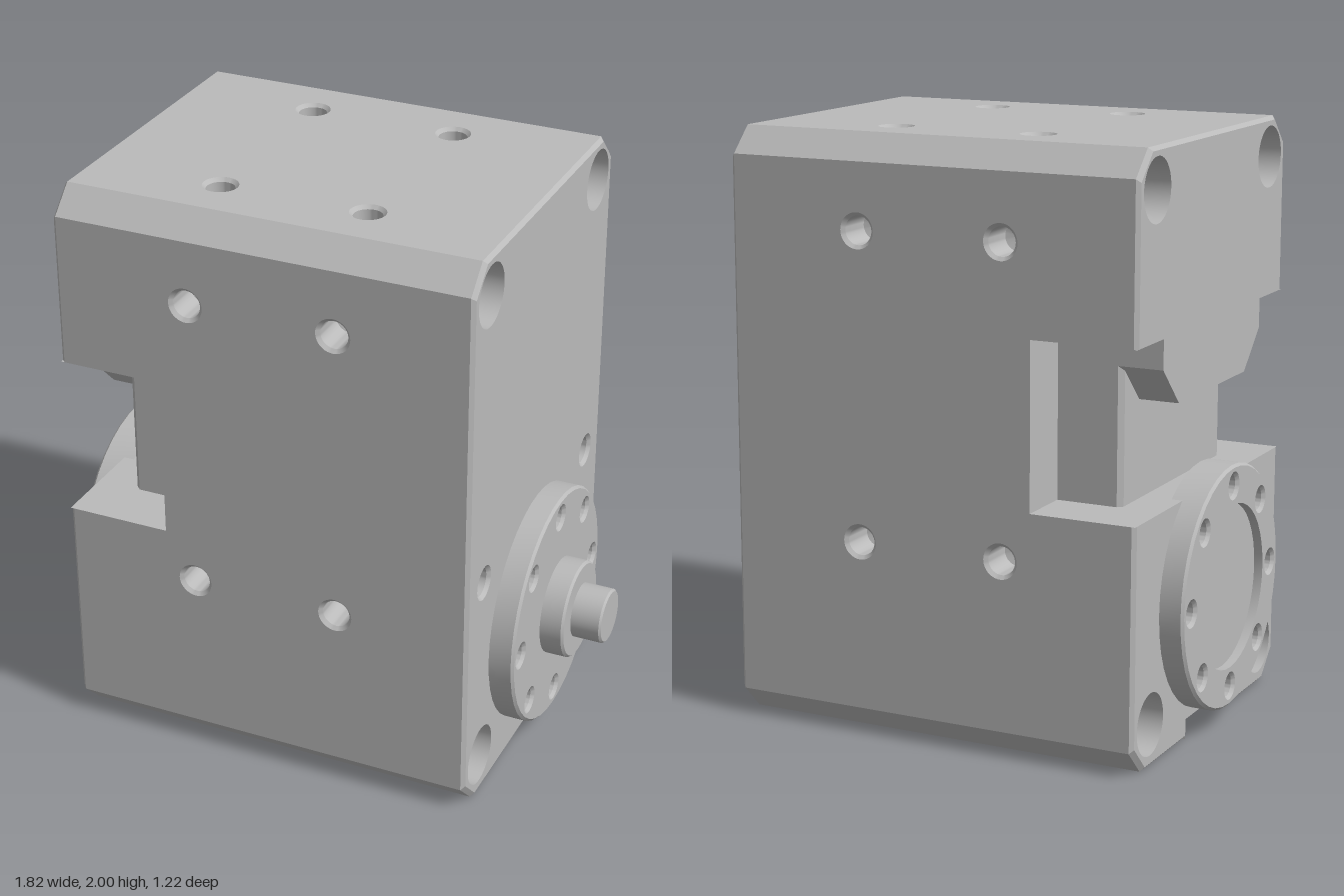
import * as THREE from 'three';
import { toCreasedNormals } from 'three/addons/utils/BufferGeometryUtils.js';

const steel = new THREE.MeshStandardMaterial({ color: 0xbababa, side: THREE.DoubleSide });
steel.name = 'steel';

// Main sizes: body ends, half depth, height, corner chamfer, edge chamfer
const A = -0.825, B = 0.63, Z = 0.612, H = 2, C = 0.087, E = 0.013;
const NOTCH_X = -0.46, NOTCH_LOW = 0.83, NOTCH_HIGH = 1.39;
const SLOT_X = -0.66, SLOT_Z = 0.18, SLOT_H = 0.07;
const AXIS_Y = 0.49;

// Local frames: [u, v, outward normal]
const v3 = (x, y, z) => new THREE.Vector3(x, y, z);
const FRAMES = {
  right: [v3(0, 0, -1), v3(0, 1, 0), v3(1, 0, 0)],
  left: [v3(0, 0, 1), v3(0, 1, 0), v3(-1, 0, 0)],
  front: [v3(1, 0, 0), v3(0, 1, 0), v3(0, 0, 1)],
  back: [v3(-1, 0, 0), v3(0, 1, 0), v3(0, 0, -1)],
  top: [v3(1, 0, 0), v3(0, 0, -1), v3(0, 1, 0)],
  bottom: [v3(1, 0, 0), v3(0, 0, 1), v3(0, -1, 0)],
};

function mesh(name, geo) {
  const m = new THREE.Mesh(geo, steel);
  m.name = name;
  return m;
}

function framed(name, frame, offset) {
  const g = new THREE.Group();
  g.name = name;
  const axes = FRAMES[frame];
  g.setRotationFromMatrix(new THREE.Matrix4().makeBasis(...axes));
  g.position.copy(axes[2]).multiplyScalar(offset);
  return g;
}

const toShape = (pts) => new THREE.Shape(pts.map(([u, v]) => new THREE.Vector2(u, v)));

// Turned part whose axis is the frame normal
function turned(name, profile, u = 0, v = 0) {
  const lathe = new THREE.LatheGeometry(profile.map(([r, d]) => new THREE.Vector2(r, d)), 40);
  const geo = toCreasedNormals(lathe, 0.5);
  geo.rotateX(Math.PI / 2).translate(u, v, 0);
  return mesh(name, geo);
}

// Hole kinds: tapped hole, deep counterbore, shallow recess
const tapped = (u, v, r = 0.06) => ({ u, v, r, profile: [[r, 0], [r * 0.8, -r * 0.2], [r * 0.8, -0.13], [0, -0.15]] });
const counterbore = (u, v) => ({
  u, v, r: 0.105,
  profile: [[0.105, 0], [0.105, -0.2], [0.06, -0.2], [0.045, -0.215], [0.045, -0.32], [0, -0.35]],
});
const recess = (u, v, r, d) => ({ u, v, r, profile: [[r, 0], [r, -d], [0, -d]] });

// Flat face with real holes and the well behind each one
function panel(name, frame, offset, shape, holes) {
  const g = framed(name, frame, offset);
  for (const h of holes) {
    shape.holes.push(new THREE.Path().absarc(h.u, h.v, h.r, 0, Math.PI * 2, true));
    g.add(turned('hole', h.profile, h.u, h.v));
  }
  g.add(mesh('face', new THREE.ShapeGeometry(shape, 20)));
  return g;
}

// Flat quads given by their four corners
function quads(name, list) {
  const pos = list.flatMap(([a, b, c, d]) => [a, b, c, a, c, d].flat());
  const geo = new THREE.BufferGeometry();
  geo.setAttribute('position', new THREE.Float32BufferAttribute(pos, 3));
  geo.computeVertexNormals();
  return mesh(name, geo);
}

// Solid prism standing on a frame plane
function prism(name, frame, offset, pts, depth) {
  const g = framed(name, frame, offset);
  g.add(mesh('solid', new THREE.ExtrudeGeometry(toShape(pts), { depth, bevelEnabled: false })));
  return g;
}

const grid = (us, vs, make) => us.flatMap((u) => vs.map((v) => make(u, v)));

// Pull end-face outline points inward by the edge chamfer
const inset = ([z, y]) => [
  Math.abs(z) > 0.5 ? z * (1 - E / Z) : z,
  Math.abs(y - 1) > 0.9 ? 1 + (y - 1) * (1 - E) : y,
];

// Bevelled strip between the sides and an end face
function bevel(name, line, xFace, xSide) {
  const list = [];
  for (let i = 0; i + 1 < line.length; i++) {
    const at = ([z, y], x) => [x, y, z];
    const [p, q] = [line[i], line[i + 1]];
    const quad = [at(p, xSide), at(q, xSide), at(inset(q), xFace), at(inset(p), xFace)];
    list.push(xFace > 0 ? quad.reverse() : quad);
  }
  return quads(name, list);
}

// Round flange with a ring of eight holes
function flange(name, frame, base, face, centre) {
  const g = new THREE.Group();
  g.name = name;
  const R = 0.415, c = 0.009;
  const holes = [...centre];
  for (let i = 0; i < 8; i++) {
    const a = (i * Math.PI) / 4;
    const h = tapped(0.345 * Math.cos(a), 0.345 * Math.sin(a), 0.048);
    h.profile = [[0.048, 0], [0.037, -0.011], [0.037, -0.08], [0, -0.08]];
    holes.push(h);
  }
  const disc = new THREE.Shape().absarc(0, 0, R - c, 0, Math.PI * 2, false);
  g.add(panel('flangeFace', frame, face, disc, holes));
  const rim = framed('flangeRim', frame, base);
  rim.add(turned('rim', [[R, 0], [R, face - base - c], [R - c, face - base]]));
  g.add(rim);
  g.position.y = AXIS_Y;
  return g;
}

export function createModel() {
  const model = new THREE.Group();
  model.name = 'gearUnit';
  const body = new THREE.Group();
  body.name = 'housing';
  model.add(body);
  const zc = Z - C, x0 = A + E, x1 = B - E;

  // Right end face with four counterbores and two tapped holes
  const outline = [[Z, C], [Z, H - C], [zc, H], [-zc, H], [-Z, H - C], [-Z, C], [-zc, 0], [zc, 0]];
  body.add(panel('outputEnd', 'right', B, toShape(outline.map(inset)), [
    ...grid([-0.475, 0.475], [0.145, 1.865], counterbore),
    ...grid([-0.475, 0.475], [0.83], (u, v) => tapped(u, v)),
  ]));
  body.add(bevel('outputEndBevel', [...outline, outline[0]], B, x1));

  // Left end face, in two parts above and below the notch
  const upper = [[-Z, NOTCH_HIGH], [-Z, H - C], [-zc, H], [zc, H], [Z, H - C], [Z, NOTCH_HIGH]];
  const lowerA = [[-SLOT_Z, 0], [-zc, 0], [-Z, C], [-Z, NOTCH_LOW]];
  const lowerB = lowerA.map(([z, y]) => [-z, y]).reverse();
  const slotTop = [[SLOT_Z, SLOT_H], [-SLOT_Z, SLOT_H]];
  body.add(panel('upperLeftEnd', 'left', -A, toShape(upper.map(inset)),
    grid([-0.475, 0.475], [1.865], counterbore)));
  body.add(panel('lowerLeftEnd', 'left', -A, toShape([...[...lowerA, ...lowerB].map(inset), ...slotTop]),
    grid([-0.475, 0.475], [0.145], counterbore)));
  for (const line of [upper, lowerA, lowerB]) body.add(bevel('leftEndBevel', line, A, x0));

  // Front and back with the notch cut in
  for (const [frame, s] of [['front', 1], ['back', -1]]) {
    const side = [[x0, C], [x1, C], [x1, H - C], [x0, H - C], [x0, NOTCH_HIGH],
      [NOTCH_X, NOTCH_HIGH], [NOTCH_X, NOTCH_LOW], [x0, NOTCH_LOW]].map(([x, y]) => [x * s, y]);
    body.add(panel(frame + 'Side', frame, Z, toShape(side),
      grid([-0.355 * s, 0.16 * s], [0.66, 1.69], (u, v) => tapped(u, v))));
  }

  // Top and bottom
  body.add(panel('topSide', 'top', H, toShape([[x0, -zc], [x1, -zc], [x1, zc], [x0, zc]]),
    grid([-0.355, 0.16], [-0.345, 0.345], (u, v) => tapped(u, v))));
  body.add(panel('bottomSide', 'bottom', 0,
    toShape([[x0, -zc], [x1, -zc], [x1, zc], [x0, zc], [x0, SLOT_Z], [SLOT_X, SLOT_Z], [SLOT_X, -SLOT_Z], [x0, -SLOT_Z]]),
    grid([0.16], [-0.345, 0.345], (u, v) => tapped(u, v))));

  // Long chamfers along the four corners
  const chamfers = [];
  for (const s of [1, -1]) {
    const low = [[x0, 0, s * zc], [x1, 0, s * zc], [x1, C, s * Z], [x0, C, s * Z]];
    const high = [[x0, H - C, s * Z], [x1, H - C, s * Z], [x1, H, s * zc], [x0, H, s * zc]];
    chamfers.push(...(s > 0 ? [low, high] : [low.reverse(), high.reverse()]));
  }
  body.add(quads('cornerChamfers', chamfers));

  // Notch floor, ceiling and rear wall
  const L = NOTCH_LOW, T = NOTCH_HIGH, N = NOTCH_X;
  body.add(quads('notchWalls', [
    [[A, L, Z], [N, L, Z], [N, L, -Z], [A, L, -Z]],
    [[A, T, -Z], [N, T, -Z], [N, T, Z], [A, T, Z]],
    [[N, L, -Z], [N, L, Z], [N, T, Z], [N, T, -Z]],
  ]));
  // Upright block inside the notch and the tapered lug above it
  body.add(prism('notchBlock', 'top', L,
    [[N, -0.41], [N, 0.41], [-0.67, 0.41], [-0.687, 0.393], [-0.687, -0.393], [-0.67, -0.41]], T - L));
  body.add(prism('notchLug', 'left', 0.6,
    [[-0.41, T], [-0.41, 1.29], [-0.28, 1.16], [0.28, 1.16], [0.41, 1.29], [0.41, T]], -A - 0.6));

  // Shallow slot under the left flange
  const S = SLOT_Z, X = SLOT_X, h = SLOT_H;
  body.add(quads('bottomSlot', [
    [[A, h, -S], [X, h, -S], [X, h, S], [A, h, S]],
    [[X, 0, -S], [X, 0, S], [X, h, S], [X, h, -S]],
    [[A, 0, -S], [X, 0, -S], [X, h, -S], [A, h, -S]],
    [[X, 0, S], [A, 0, S], [A, h, S], [X, h, S]],
  ]));

  // Flanges and stepped output shaft
  model.add(flange('leftFlange', 'left', 0.787, 0.908, [recess(0, 0, 0.28, 0.03)]));
  model.add(flange('outputFlange', 'right', B, 0.717, []));
  const shaft = framed('outputShaft', 'right', 0.717);
  shaft.position.y = AXIS_Y;
  shaft.add(turned('steppedShaft', [[0.17, 0], [0.17, 0.075], [0.162, 0.083], [0.095, 0.083],
    [0.095, 0.183], [0.088, 0.19], [0, 0.19]]));
  model.add(shaft);
  return model;
}
